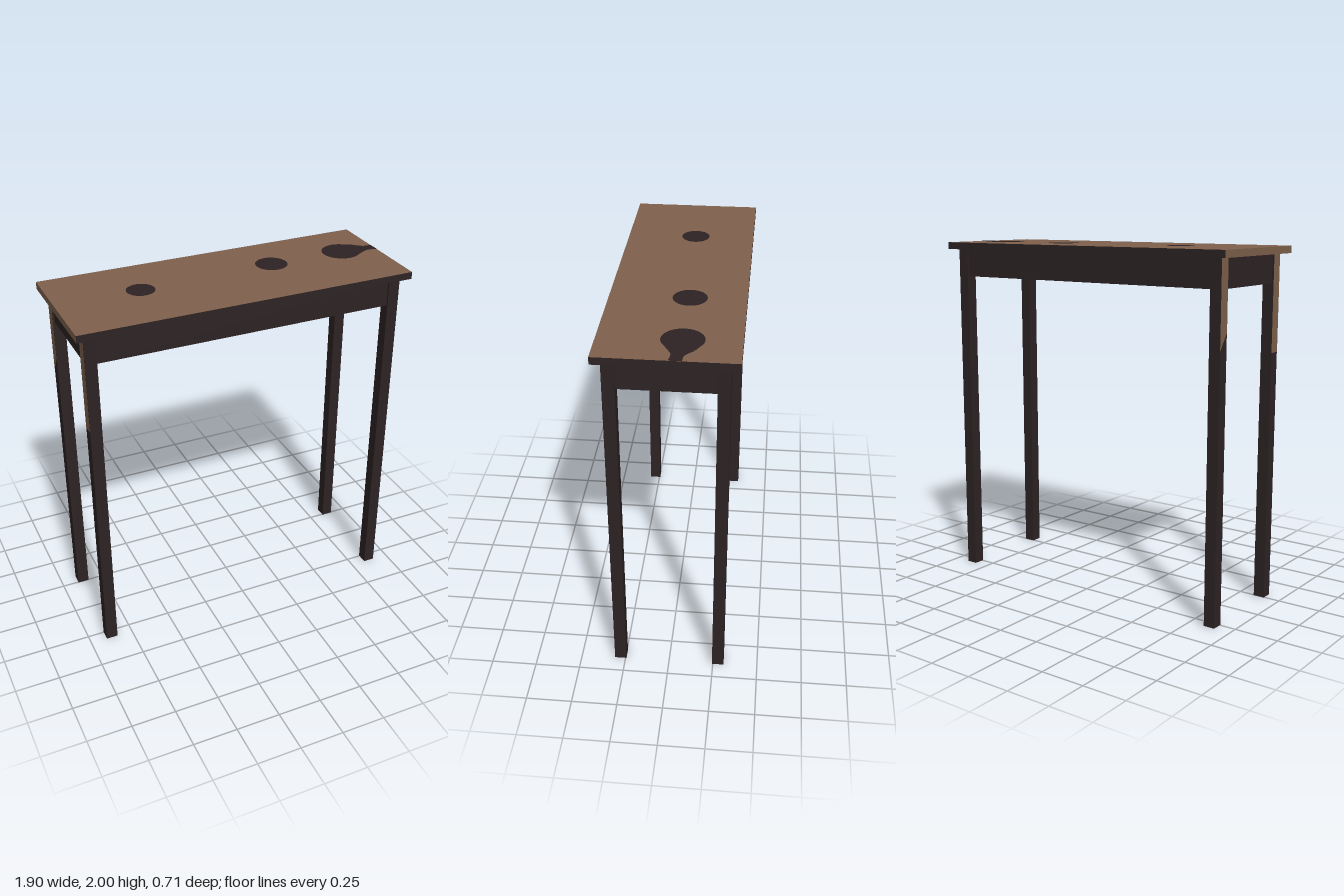
import * as THREE from 'three';

export function createModel() {
  const group = new THREE.Group();
  const dark = new THREE.MeshStandardMaterial({ color: 0x2d2324 });
  dark.name = 'dark wood';
  const brown = new THREE.MeshStandardMaterial({ color: 0x80624d });
  brown.name = 'worn brown wood';

  function add(name, geometry, material, x = 0, y = 0, z = 0) {
    const mesh = new THREE.Mesh(geometry, material);
    mesh.name = name;
    mesh.position.set(x, y, z);
    group.add(mesh);
    return mesh;
  }

  // Tabletop: brown upper face and one brown end, dark elsewhere
  add('tabletop', new THREE.BoxGeometry(1.9, 0.04, 0.71),
    [dark, brown, brown, dark, dark, dark], 0, 1.98, 0);

  // Four square legs
  const leg = new THREE.BoxGeometry(0.065, 1.96, 0.065);
  for (const sx of [-1, 1]) {
    for (const sz of [-1, 1]) {
      add('leg', leg, dark, sx * 0.8725, 0.98, sz * 0.2775);
    }
  }

  // Apron boards, set slightly in from the leg faces
  for (const s of [-1, 1]) {
    add('longApron', new THREE.BoxGeometry(1.68, 0.16, 0.045), dark, 0, 1.88, s * 0.2775);
    add('endApron', new THREE.BoxGeometry(0.045, 0.16, 0.49), dark, s * 0.8725, 1.88, 0);
  }

  // Round stains on the top
  for (const [x, z, r] of [[-0.478, -0.027, 0.078], [0.303, -0.062, 0.09]]) {
    add('roundStain', new THREE.CircleGeometry(r, 40).rotateX(-Math.PI / 2), dark, x, 2.001, z);
  }

  // Spill that narrows and runs off the end; shape y is -z
  const spill = new THREE.Shape();
  spill.moveTo(0.95, 0.08);
  spill.lineTo(0.91, 0.082);
  spill.quadraticCurveTo(0.885, 0.09, 0.865, 0.115);
  spill.quadraticCurveTo(0.84, 0.14, 0.805, 0.152);
  spill.absarc(0.743, 0.065, 0.108, 0.95, Math.PI * 2 - 0.95, false);
  spill.quadraticCurveTo(0.85, 0.005, 0.88, 0.018);
  spill.quadraticCurveTo(0.9, 0.026, 0.95, 0.012);
  add('spillStain', new THREE.ShapeGeometry(spill, 24).rotateX(-Math.PI / 2), dark, 0, 2.001, 0);

  // Worn brown patches on the outer faces of two legs: z start, z end, lower y at each
  for (const [z0, z1, y0, y1] of [[-0.31, -0.245, 1.49, 1.58], [0.245, 0.31, 1.42, 1.42]]) {
    const patch = new THREE.Shape([
      new THREE.Vector2(z0, y0), new THREE.Vector2(z1, y1),
      new THREE.Vector2(z1, 1.96), new THREE.Vector2(z0, 1.96),
    ]);
    add('legPatch', new THREE.ShapeGeometry(patch).rotateY(-Math.PI / 2), brown, -0.906, 0, 0);
  }

  return group;
}
